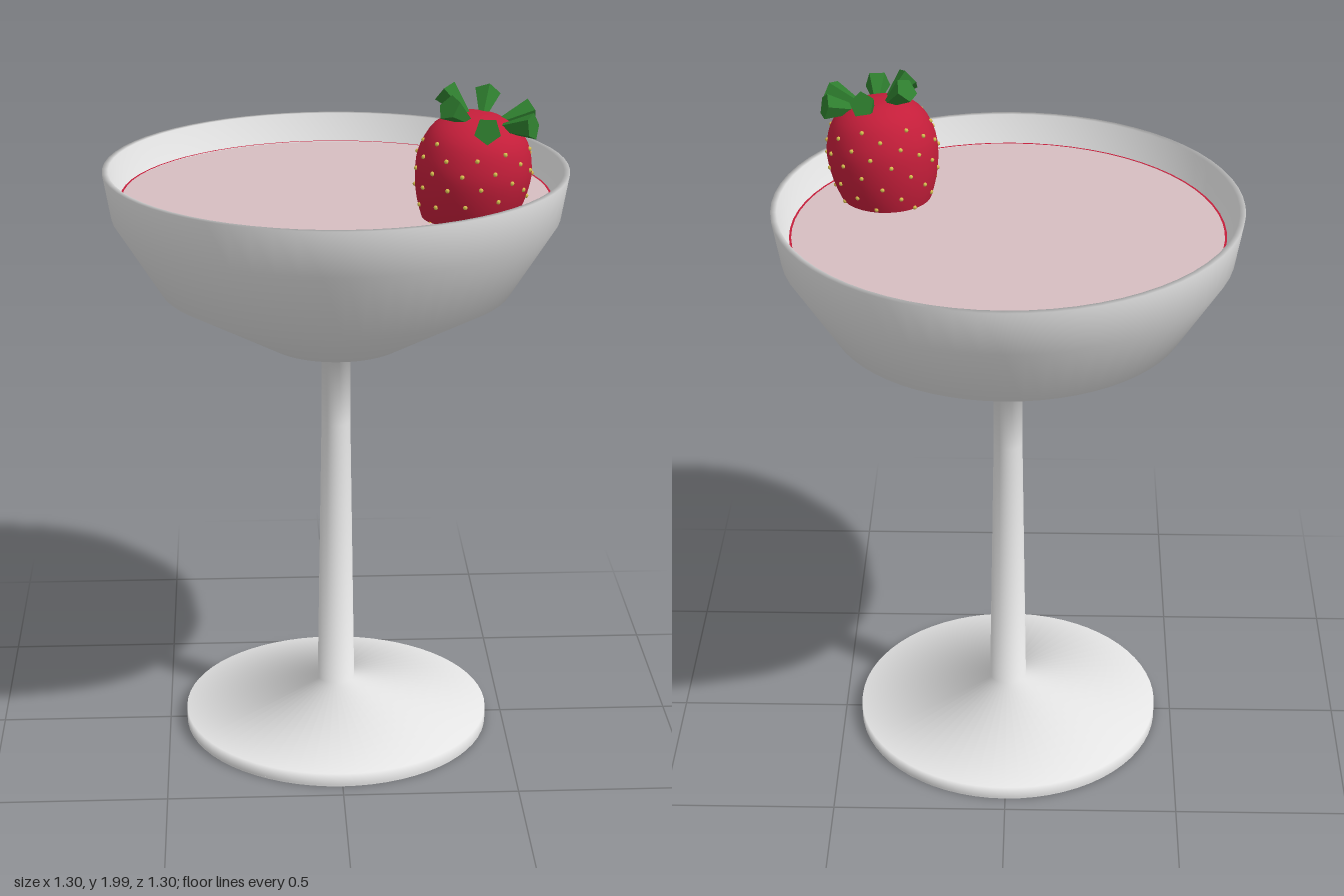
import * as THREE from 'three';

const mat = (name, color) => {
  const m = new THREE.MeshStandardMaterial({ color });
  m.name = name;
  return m;
};
const points = (list) => list.map(([x, y]) => new THREE.Vector2(x, y));

export function createModel() {
  const glass = mat('pale glass', 0xe6e6e6);
  const cream = mat('pink drink', 0xd6bdc1);
  const red = mat('strawberry red', 0xc41e3a);
  const green = mat('leaf green', 0x2e7d2e);
  const yellow = mat('seed yellow', 0xd9c050);

  const model = new THREE.Group();
  model.name = 'stemmedGlass';
  const add = (parent, name, geometry, material) => {
    const mesh = new THREE.Mesh(geometry, material);
    mesh.name = name;
    parent.add(mesh);
    return mesh;
  };

  // Foot, stem and hollow bowl in one turned profile
  add(model, 'glass', new THREE.LatheGeometry(points([
    [0.45, 0.005], [0.45, 0.04], [0.055, 0.13], [0.042, 0.95], [0.042, 1.145],
    [0.2, 1.2], [0.5, 1.37], [0.63, 1.58], [0.652, 1.71],
    [0.635, 1.71], [0.605, 1.58], [0.48, 1.39], [0.2, 1.23], [0, 1.2],
  ]), 64), glass);
  const underside = add(model, 'footUnderside', new THREE.CylinderGeometry(0.45, 0.45, 0.006, 64), glass);
  underside.position.y = 0.003;

  // Drink surface with a thin red edge
  const drink = add(model, 'drink', new THREE.CylinderGeometry(0.6, 0.58, 0.05, 64), cream);
  drink.position.y = 1.605;
  const edge = add(model, 'drinkEdge', new THREE.RingGeometry(0.598, 0.604, 64), red);
  edge.rotation.x = -Math.PI / 2;
  edge.position.y = 1.632;

  // Strawberry leaning towards the rim
  const berry = new THREE.Group();
  berry.name = 'strawberry';
  berry.position.set(0.357, 1.74, 0.243);
  berry.rotation.set(0.12, 0, -0.12);
  model.add(berry);
  const profile = new THREE.SplineCurve(points([
    [0, -0.24], [0.06, -0.215], [0.108, -0.15], [0.142, -0.07], [0.157, 0.01],
    [0.152, 0.07], [0.125, 0.13], [0.07, 0.168], [0, 0.176],
  ]));
  add(berry, 'fruit', new THREE.LatheGeometry(profile.getPoints(24).map(
    (p) => new THREE.Vector2(Math.max(p.x, 0), p.y)), 32), red);

  // Seeds on a golden-angle spiral
  const seed = new THREE.SphereGeometry(0.0065, 6, 4);
  for (let i = 0; i < 80; i++) {
    const p = profile.getPoint(0.14 + 0.58 * (i / 79));
    const a = i * 2.39996;
    add(berry, 'seed', seed, yellow).position.set(p.x * Math.cos(a), p.y, p.x * Math.sin(a));
  }

  // Leaves: four-sided cones, narrow end at the crown centre
  const crown = new THREE.Vector3(0.375, 1.875, 0.255);
  const up = new THREE.Vector3(0, 1, 0);
  const tips = [
    [0.405, 1.945, 0.135], [0.515, 1.91, 0.205], [0.508, 1.9, 0.335],
    [0.38, 1.905, 0.4], [0.285, 1.95, 0.32], [0.285, 1.965, 0.195],
  ];
  const crownGroup = new THREE.Group();
  crownGroup.name = 'leafCrown';
  model.add(crownGroup);
  for (const t of tips) {
    const tip = new THREE.Vector3(...t);
    const start = crown.clone().lerp(tip, 0.3);
    const dir = tip.clone().sub(start);
    const geometry = new THREE.CylinderGeometry(0.037, 0.008, dir.length(), 5).toNonIndexed();
    geometry.computeVertexNormals();
    const leaf = add(crownGroup, 'leaf', geometry, green);
    leaf.position.copy(start).add(tip).multiplyScalar(0.5);
    leaf.quaternion.setFromUnitVectors(up, dir.normalize());
  }
  return model;
}
